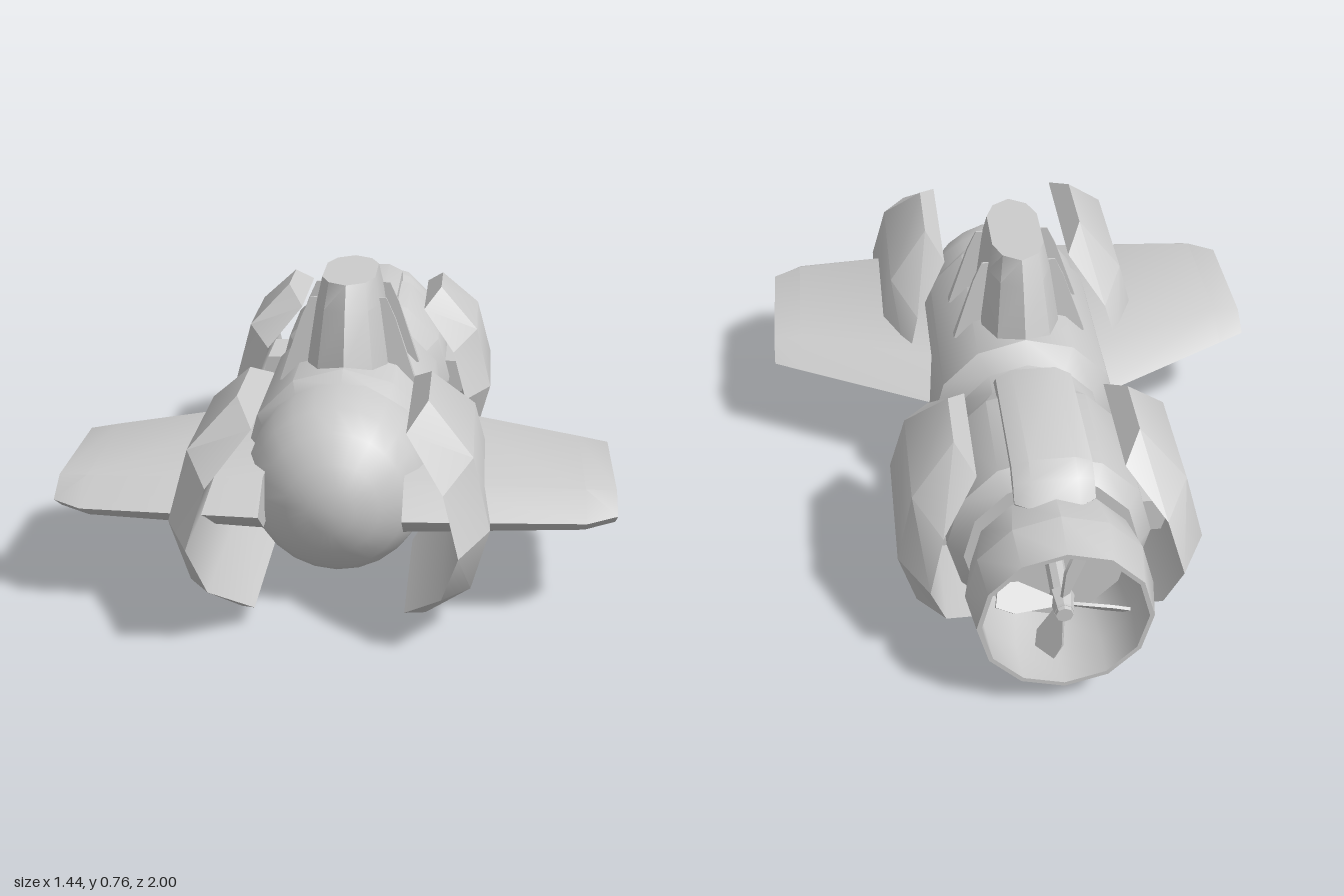
import * as THREE from 'three';
import { toCreasedNormals } from 'three/addons/utils/BufferGeometryUtils.js';

const AXIS = 0.295; // height of the hull's centre line
const grey = new THREE.MeshStandardMaterial({ color: 0xcccccc });
const greyThin = new THREE.MeshStandardMaterial({ color: 0xcccccc, side: THREE.DoubleSide });

function part(parent, name, geometry, material = grey, crease = 0.6) {
  const mesh = new THREE.Mesh(toCreasedNormals(geometry, crease), material);
  mesh.name = name;
  parent.add(mesh);
  return mesh;
}

// Solid through matching rings of [x, y, z], capped and always facing outwards
function loft(rings) {
  const n = rings[0].length, tris = [];
  for (let i = 0; i < rings.length - 1; i++) {
    for (let j = 0; j < n; j++) {
      const k = (j + 1) % n, a = rings[i], b = rings[i + 1];
      tris.push([a[j], a[k], b[k]], [a[j], b[k], b[j]]);
    }
  }
  const first = rings[0], last = rings[rings.length - 1];
  for (let j = 1; j < n - 1; j++) {
    tris.push([first[0], first[j + 1], first[j]], [last[0], last[j], last[j + 1]]);
  }
  let volume = 0;
  const v = (p) => new THREE.Vector3(...p);
  for (const [a, b, c] of tris) volume += v(a).dot(v(b).cross(v(c)));
  if (volume < 0) tris.forEach((t) => t.reverse());
  const geometry = new THREE.BufferGeometry();
  geometry.setAttribute('position', new THREE.Float32BufferAttribute(tris.flat(2), 3));
  return geometry;
}

// Turned shape along z from [radius, z] pairs, given from back to front
function turned(profile, sides = 12) {
  const points = profile.map(([r, z]) => new THREE.Vector2(r, z));
  return new THREE.LatheGeometry(points, sides).rotateX(Math.PI / 2).translate(0, AXIS, 0);
}

// Curved armour shell: chamfered slab bent around the hull
function shell(side, centreZ, scale) {
  // inner x, inner y, outer x, outer y, inner half length, outer half length
  const half = [
    [0.19, 0.24, 0.24, 0.29, 0.23, 0.12],
    [0.285, 0.135, 0.355, 0.175, 0.37, 0.21],
    [0.325, 0, 0.4, 0, 0.43, 0.25],
  ];
  const lower = half.slice(0, 2).reverse().map(([a, b, c, d, e, f]) => [a, -b, c, -d, e, f]);
  return loft([...half, ...lower].map(([ix, iy, ox, oy, li, lo]) => [
    [side * ix, AXIS + iy, centreZ - li * scale],
    [side * ix, AXIS + iy, centreZ + li * scale],
    [side * ox, AXIS + oy, centreZ + lo * scale],
    [side * ox, AXIS + oy, centreZ - lo * scale],
  ]));
}

// Wing with a six-sided section
function wing(side) {
  const sections = [
    [0.18, -0.1, 0.06, 0.68, 0.78, 0.068],
    [0.64, 0.155, 0.26, 0.66, 0.755, 0.055],
    [0.72, 0.2, 0.27, 0.63, 0.7, 0.043],
  ];
  return loft(sections.map(([x, z0, z1, z2, z3, h]) => [
    [z0, 0], [z1, h], [z2, h], [z3, 0], [z2, -h], [z1, -h],
  ].map(([z, y]) => [side * x, AXIS + y, z])));
}

// Tower ring: half width, back z, front z, height
function towerRing(w, back, front, y) {
  const c = (front - back) * 0.27, s = c * 0.35;
  const right = [[0, front], [w * 0.68, front - s], [w, front - c], [w, back + c], [w * 0.68, back + s], [0, back]];
  const left = right.slice(1, -1).reverse().map(([x, z]) => [-x, z]);
  return [...right, ...left].map(([x, z]) => [x, y, z]);
}

export function createModel() {
  const model = new THREE.Group();

  // Main hull, neck and engine housing
  part(model, 'hull', turned([
    [0, -0.73], [0.23, -0.73], [0.27, -0.68], [0.27, -0.38], [0.215, -0.28], [0.215, -0.2],
    [0.27, -0.155], [0.27, 0.38], [0.245, 0.44], [0, 0.44],
  ]));
  part(model, 'nose', turned([
    [0.245, 0.42], [0.245, 0.5], [0.225, 0.58], [0.185, 0.65], [0.12, 0.705], [0.06, 0.73], [0, 0.738],
  ], 24), grey, 0.8);

  // Conning tower with four thin braces
  part(model, 'tower', loft([
    towerRing(0.115, -0.175, 0.385, 0.5),
    towerRing(0.108, -0.155, 0.37, 0.56),
    towerRing(0.088, -0.105, 0.325, 0.7),
    towerRing(0.073, -0.065, 0.285, 0.77),
  ]));
  for (const side of [1, -1]) {
    for (const [z, lean] of [[0.2, 1], [0.025, -1]]) {
      const outline = [[0.05, 0.715], [0.105, 0.715], [0.13, 0.66], [0.19, 0.48], [0.05, 0.48]];
      part(model, 'towerBrace', loft([-1, 1].map((f) => outline.map(([x, y]) => {
        const t = (0.715 - y) / 0.235;
        return [side * x, y, z + lean * 0.008 * t + f * (0.003 + 0.012 * t)];
      }))));
    }
  }

  // Wings, shells and the struts behind the rear shells
  for (const side of [1, -1]) {
    const name = side > 0 ? 'left' : 'right';
    part(model, name + 'Wing', wing(side));
    part(model, name + 'FrontShell', shell(side, 0.565, 1));
    part(model, name + 'RearShell', shell(side, -0.525, 0.78));
    part(model, name + 'RearStrut', new THREE.BoxGeometry(0.14, 0.1, 0.2).translate(side * 0.275, AXIS, -0.525));
  }

  // Dorsal strap joining the housing to the propeller shroud
  const strap = new THREE.Shape([
    [0.27, 0.51], [0.33, 0.565], [0.71, 0.565], [0.75, 0.54], [0.78, 0.5], [0.77, 0.49], [0.7, 0.52], [0.34, 0.52],
  ].map(([x, y]) => new THREE.Vector2(x, y)));
  part(model, 'dorsalStrap', new THREE.ExtrudeGeometry(strap, {
    depth: 0.12, bevelThickness: 0.043, bevelSize: 0.02, bevelSegments: 1,
  }).rotateY(Math.PI / 2).translate(-0.06, 0, 0));

  // Open shroud around the propeller
  part(model, 'shroud', turned([
    [0.2, -0.76], [0.222, -0.88], [0.21, -1], [0.222, -1], [0.24, -0.88], [0.215, -0.76], [0.2, -0.76],
  ]), greyThin);

  // Propeller
  const propeller = new THREE.Group();
  propeller.name = 'propeller';
  propeller.position.set(0, AXIS, 0);
  model.add(propeller);
  part(propeller, 'shaft', new THREE.CylinderGeometry(0.025, 0.025, 0.25, 8).rotateX(Math.PI / 2).translate(0, 0, -0.84));
  part(propeller, 'hub', new THREE.CylinderGeometry(0.034, 0.022, 0.07, 8).rotateX(Math.PI / 2).translate(0, 0, -0.94));
  const bladeShape = new THREE.Shape([
    [-0.012, 0.02], [0.012, 0.02], [0.04, 0.12], [0.03, 0.17], [-0.03, 0.17], [-0.04, 0.12],
  ].map(([x, y]) => new THREE.Vector2(x, y)));
  for (let i = 0; i < 4; i++) {
    const blade = new THREE.ExtrudeGeometry(bladeShape, { depth: 0.008, bevelEnabled: false });
    blade.translate(0, 0, -0.004).rotateY(0.75).translate(0, 0, -0.93).rotateZ(i * Math.PI / 2 + 0.25);
    part(propeller, 'blade', blade);
  }

  return model;
}
